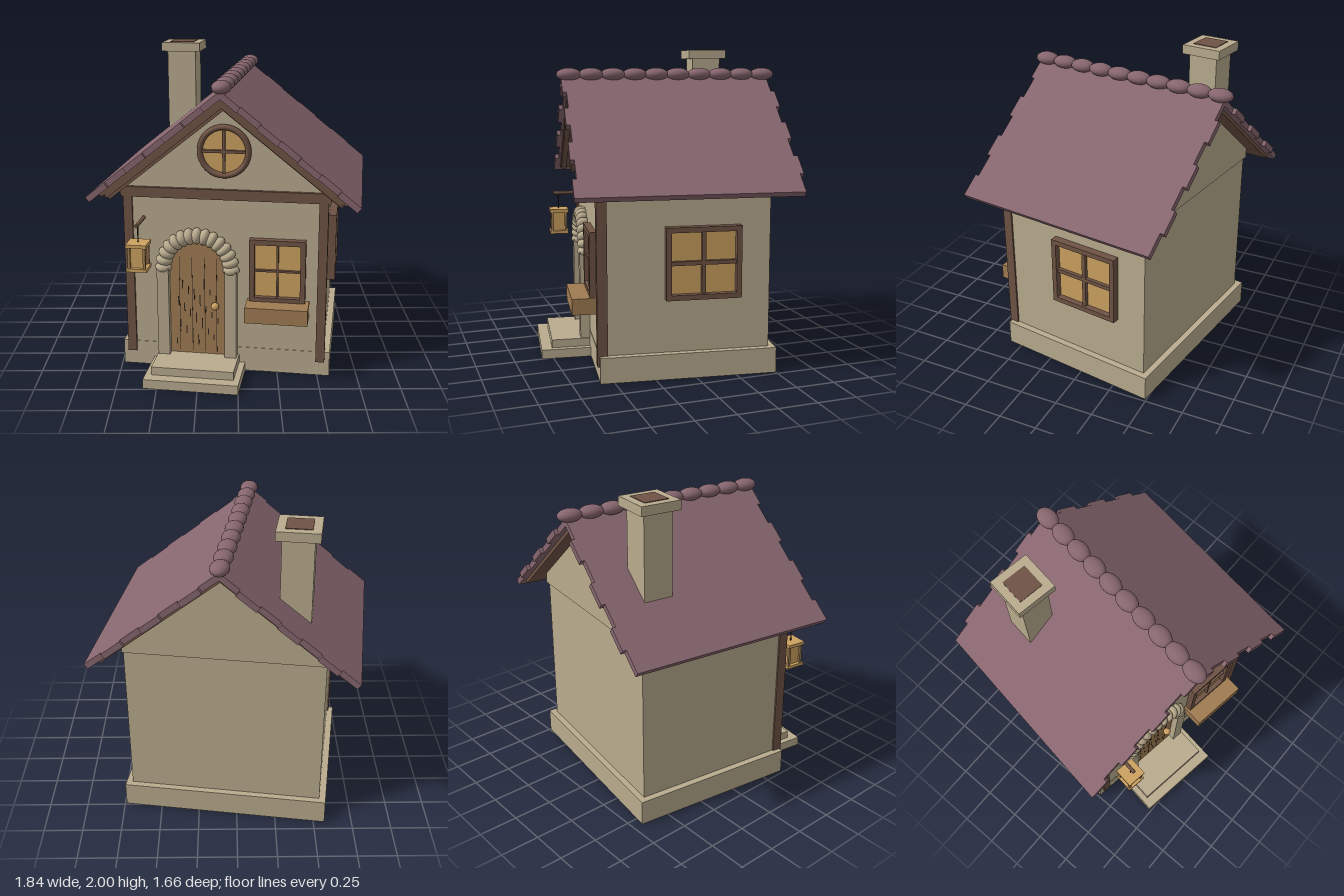
import * as THREE from 'three';

const mat = (name, color, extra = {}) => {
  const m = new THREE.MeshStandardMaterial({ color, ...extra });
  m.name = name;
  return m;
};

export function createModel() {
  const stone = mat('warm stone', 0xb9ab8e);
  const tile = mat('plum roof tile', 0x86656e);
  const timber = mat('brown timber', 0x6f5344);
  const amber = mat('amber glass', 0xcda260);
  const wood = mat('door wood', 0xa07c52);
  const dark = mat('dark groove', 0x2f2520);

  const model = new THREE.Group();
  model.name = 'cottage';
  const house = new THREE.Group();
  house.name = 'house';
  house.rotation.y = -0.15;
  house.position.x = -0.006;
  model.add(house);

  const add = (name, geo, material, x = 0, y = 0, z = 0, parent = house) => {
    const m = new THREE.Mesh(geo, material);
    m.name = name;
    m.position.set(x, y, z);
    parent.add(m);
    return m;
  };
  // box given by its limits on each axis
  const box = (name, material, x0, x1, y0, y1, z0, z1, parent = house) =>
    add(name, new THREE.BoxGeometry(x1 - x0, y1 - y0, z1 - z0), material,
      (x0 + x1) / 2, (y0 + y1) / 2, (z0 + z1) / 2, parent);
  const group = (name, x, y, z, parent = house) => {
    const g = new THREE.Group();
    g.name = name;
    g.position.set(x, y, z);
    parent.add(g);
    return g;
  };

  // plinth, walls and gable
  box('plinth', stone, -0.662, 0.662, 0.005, 0.165, -0.6, 0.495);
  box('walls', stone, -0.62, 0.62, 0.1, 1.2, -0.56, 0.492);
  const gable = new THREE.Shape([[-0.625, 1.18], [0.625, 1.18], [0.625, 1.26], [0, 1.76], [-0.625, 1.26]]
    .map(([x, y]) => new THREE.Vector2(x, y)));
  add('gable', new THREE.ExtrudeGeometry(gable, { depth: 1.069, bevelEnabled: false }), stone, 0, 0, -0.577);

  // front timber frame
  for (const s of [-1, 1]) box('cornerPost', timber, s * 0.603 - 0.028, s * 0.603 + 0.028, 0.1, 1.16, 0.445, 0.508);
  box('tieBeam', timber, -0.645, 0.645, 1.137, 1.2, 0.45, 0.515);

  // roof slopes: staggered tile rows over boards and rafters
  const apexY = 1.82, slope = 0.675, length = 1.057, rows = 7;
  for (const s of [-1, 1]) {
    const side = group(s > 0 ? 'leftRoof' : 'rightRoof', 0, apexY, 0);
    if (s < 0) side.rotation.y = Math.PI;
    const pitch = group('roofPitch', 0, 0, 0, side);
    pitch.rotation.z = -slope;
    // z runs backwards on the mirrored side
    const slab = (name, material, x0, x1, y0, y1, z0, z1) =>
      box(name, material, x0, x1, y0, y1, s > 0 ? z0 : -z1, s > 0 ? z1 : -z0, pitch);
    const step = length / rows;
    for (let i = 0; i < rows; i++) {
      const shift = (rows - 1 - i) % 2 ? 0.025 : 0;
      slab('tileRow', tile, i * step, (i + 1) * step, -0.038, 0, -0.71 - shift, 0.65 - shift);
    }
    slab('roofBoards', timber, 0.03, 0.99, -0.06, -0.036, -0.675, 0.61);
    slab('frontRafter', timber, 0.05, 0.99, -0.105, -0.055, 0.485, 0.535);
    slab('bargeBoard', timber, 0.05, 0.97, -0.085, -0.055, 0.57, 0.605);
  }

  // ridge caps
  const capGeo = new THREE.SphereGeometry(1, 20, 14);
  for (let i = 0; i < 10; i++) {
    add('ridgeCap', capGeo, tile, 0, 1.835, 0.6 - i * 0.1422).scale.set(0.058, 0.041, 0.08);
  }

  // chimney
  const chimney = group('chimney', -0.415, 0, -0.38);
  box('chimneyStack', stone, -0.095, 0.095, 1.25, 1.94, -0.095, 0.095, chimney);
  box('chimneyCap', stone, -0.129, 0.129, 1.938, 1.996, -0.129, 0.129, chimney);
  box('flueOpening', timber, -0.079, 0.079, 1.993, 2, -0.079, 0.079, chimney);

  // four-pane window facing +z, centred on its group
  const squareWindow = (name, w, h, bar, muntin, depth) => {
    const g = group(name, 0, 0, 0);
    const a = w / 2, b = h / 2;
    box('pane', amber, -a + bar / 2, a - bar / 2, -b + bar / 2, b - bar / 2, -0.02, 0.012, g);
    for (const s of [-1, 1]) {
      box('frameSide', timber, s * (a - bar / 2) - bar / 2, s * (a - bar / 2) + bar / 2, -b, b, -0.02, depth, g);
      box('frameRail', timber, -a + bar, a - bar, s * (b - bar / 2) - bar / 2, s * (b - bar / 2) + bar / 2, -0.02, depth, g);
    }
    box('muntinUpright', timber, -muntin / 2, muntin / 2, -b + bar, b - bar, 0, depth * 0.7, g);
    box('muntinRail', timber, -a + bar, a - bar, -muntin / 2, muntin / 2, 0, depth * 0.7, g);
    return g;
  };
  squareWindow('frontWindow', 0.345, 0.405, 0.032, 0.012, 0.045).position.set(0.33, 0.697, 0.492);
  const sideWindow = squareWindow('sideWindow', 0.465, 0.445, 0.032, 0.025, 0.05);
  sideWindow.position.set(0.62, 0.72, -0.138);
  sideWindow.rotation.y = Math.PI / 2;
  box('flowerBox', wood, 0.143, 0.528, 0.4, 0.5, 0.49, 0.648);

  // round gable window
  const round = group('roundWindow', 0, 1.437, 0.492);
  add('roundPane', new THREE.CylinderGeometry(0.145, 0.145, 0.02, 40), amber, 0, 0, 0, round).rotation.x = Math.PI / 2;
  add('roundFrame', new THREE.TorusGeometry(0.147, 0.018, 10, 48), timber, 0, 0, 0.012, round).scale.z = 1.6;
  box('roundMuntinUpright', timber, -0.009, 0.009, -0.14, 0.14, 0, 0.026, round);
  box('roundMuntinRail', timber, -0.14, 0.14, -0.009, 0.009, 0, 0.026, round);

  // arched door with plank grooves and knob
  const door = group('door', -0.17, 0, 0.49);
  const spring = 0.68, half = 0.178;
  const leaf = new THREE.Shape();
  leaf.moveTo(-half, 0.1);
  leaf.lineTo(half, 0.1);
  leaf.lineTo(half, spring);
  leaf.absarc(0, spring, half, 0, Math.PI, false);
  leaf.lineTo(-half, 0.1);
  add('doorLeaf', new THREE.ExtrudeGeometry(leaf, { depth: 0.02, bevelEnabled: false, curveSegments: 24 }), wood, 0, 0, 0, door);
  for (const x of [-0.115, -0.035, 0.045, 0.12]) {
    box('plankGroove', dark, x - 0.0015, x + 0.0015, 0.13, 0.76, 0.018, 0.0215, door);
  }
  for (let i = 0; i < 22; i++) {
    const x = -0.135 + ((i * 7) % 22) * 0.0125;
    const y = 0.17 + ((i * 5) % 11) * 0.038;
    box('woodGrain', dark, x - 0.003, x + 0.003, y, y + 0.04 + (i % 3) * 0.015, 0.018, 0.0215, door);
  }
  add('doorKnob', new THREE.SphereGeometry(0.025, 18, 12), amber, 0.113, 0.448, 0.042, door);

  // stone surround
  for (const s of [-1, 1]) {
    box('doorJamb', stone, s * 0.213 - 0.037, s * 0.213 + 0.037, 0.1, spring + 0.01, -0.01, 0.065, door);
  }
  const stones = 15;
  for (let i = 0; i < stones; i++) {
    const a = (Math.PI * i) / (stones - 1);
    const m = add('archStone', capGeo, stone, Math.cos(a) * 0.213, spring + 0.01 + Math.sin(a) * 0.213, 0.028, door);
    m.scale.set(0.052, 0.034, 0.048);
    m.rotation.z = a;
  }

  // doorstep
  box('lowerStep', stone, -0.463, 0.129, 0, 0.06, 0.48, 0.815);
  box('upperStep', stone, -0.424, 0.091, 0.06, 0.113, 0.48, 0.746);

  // hanging lantern on its bracket
  const lantern = group('lantern', -0.507, 0, 0.645);
  const rod = add('bracket', new THREE.CylinderGeometry(0.012, 0.012, 0.2, 10), timber, 0, 1, -0.065, lantern);
  rod.rotation.x = Math.PI / 2;
  add('hanger', new THREE.CylinderGeometry(0.004, 0.004, 0.12, 6), dark, 0, 0.945, 0, lantern);
  box('lanternBase', amber, -0.064, 0.064, 0.717, 0.737, -0.064, 0.064, lantern);
  box('lanternGlass', amber, -0.041, 0.041, 0.737, 0.87, -0.041, 0.041, lantern);
  box('lanternTop', amber, -0.064, 0.064, 0.868, 0.89, -0.064, 0.064, lantern);
  for (const x of [-0.047, 0.047]) {
    for (const z of [-0.047, 0.047]) {
      box('lanternPost', wood, x - 0.008, x + 0.008, 0.735, 0.87, z - 0.008, z + 0.008, lantern);
    }
  }

  return model;
}
